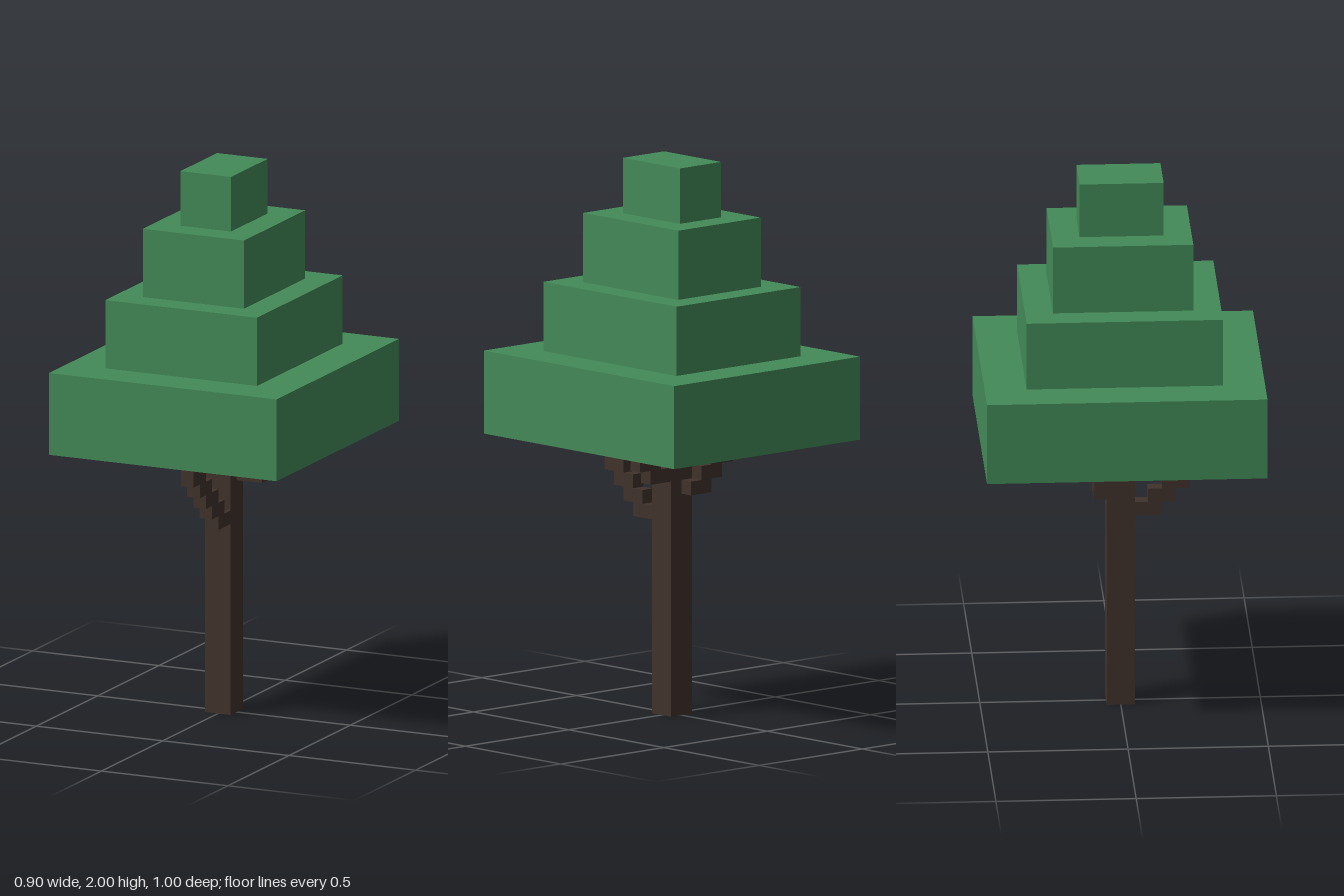
import * as THREE from 'three';

const leafGreen = new THREE.MeshStandardMaterial({ color: 0x438a57 });
leafGreen.name = 'leafGreen';
const barkBrown = new THREE.MeshStandardMaterial({ color: 0x40322b });
barkBrown.name = 'barkBrown';

const UNIT = 0.05; // thickness of a branch step

// Box standing on height y, centred on x and z
function block(name, material, w, h, d, x, y, z) {
  const mesh = new THREE.Mesh(new THREE.BoxGeometry(w, h, d), material);
  mesh.name = name;
  mesh.position.set(x, y + h / 2, z);
  return mesh;
}

// Staircase branch: one low step, then double-height steps climbing outwards
function branch(name, steps, x, y, z, dx, dz) {
  const group = new THREE.Group();
  group.name = name;
  for (let i = 0; i < steps; i++) {
    const h = i === 0 ? UNIT : 2 * UNIT;
    const bottom = y + Math.max(0, i - 1) * UNIT;
    const out = (i + 0.5) * UNIT;
    group.add(block('branchStep', barkBrown, UNIT, h, UNIT, x + dx * out, bottom, z + dz * out));
  }
  return group;
}

export function createModel() {
  const tree = new THREE.Group();
  tree.name = 'tree';

  // Trunk
  tree.add(block('trunk', barkBrown, 0.1, 1, 0.1, 0, 0, 0));

  // Branches
  tree.add(branch('frontBranch', 6, 0.025, 0.7, 0.05, 0, 1));
  tree.add(branch('rightBranch', 4, 0, 0.8, -0.075, -1, 0));
  tree.add(branch('leftBranch', 3, 0.05, 0.85, -0.025, 1, 0));

  // Stepped canopy: width, height, depth of each tier
  const canopy = new THREE.Group();
  canopy.name = 'canopy';
  let y = 1;
  for (const [w, h, d] of [[0.9, 0.3, 1], [0.6, 0.25, 0.7], [0.4, 0.25, 0.5], [0.2, 0.2, 0.3]]) {
    canopy.add(block('canopyTier', leafGreen, w, h, d, 0, y, 0));
    y += h;
  }
  tree.add(canopy);

  return tree;
}
